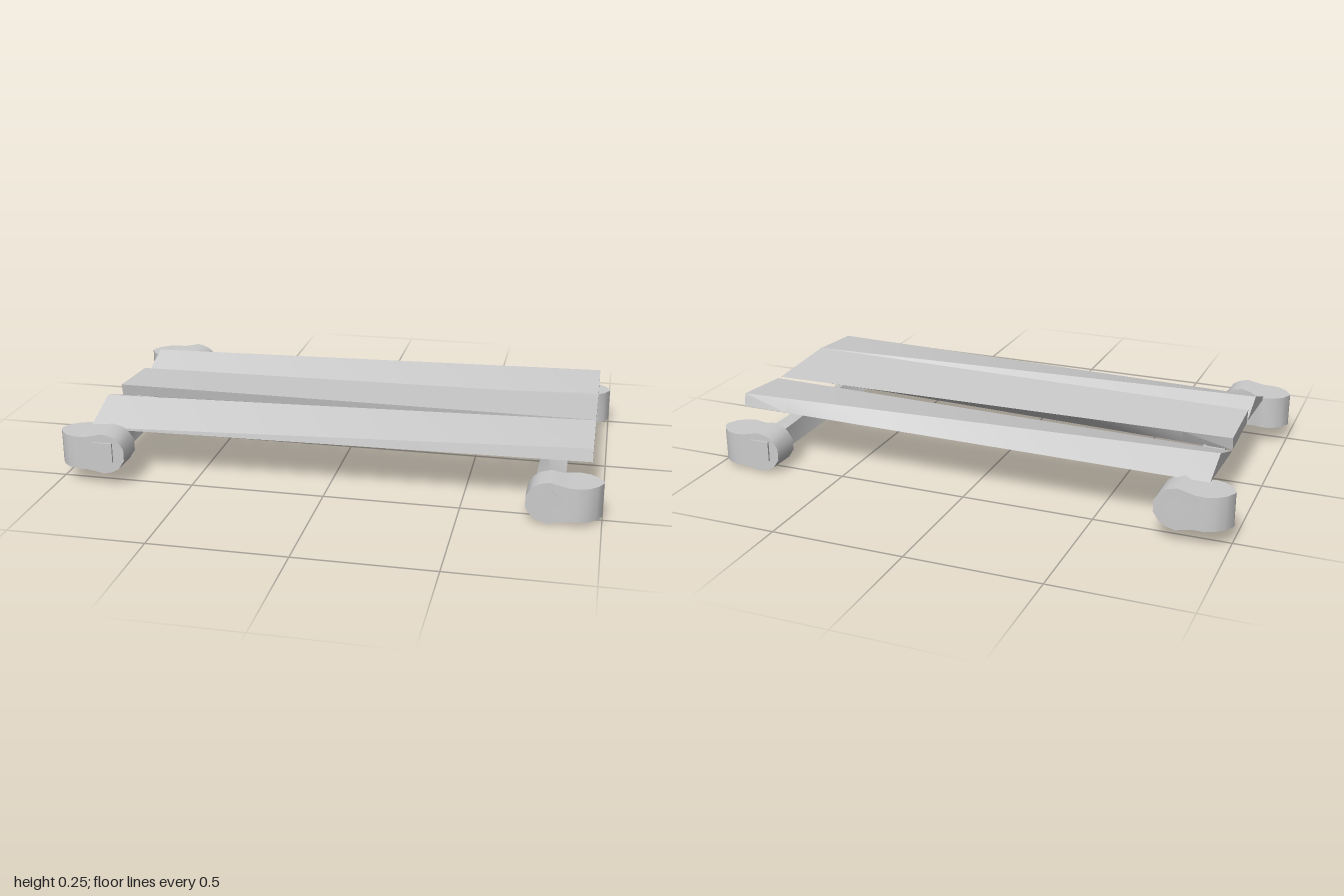
import * as THREE from 'three';
import { toCreasedNormals } from 'three/addons/utils/BufferGeometryUtils.js';

const material = new THREE.MeshStandardMaterial({ color: 0xcccccc });

// Closed solid through equal-sized loops of [x, y, z] points
function loft(loops, crease) {
  const n = loops[0].length;
  const pts = loops.flat();
  const index = [];
  for (let i = 0; i < loops.length - 1; i++) {
    for (let j = 0; j < n; j++) {
      const a = i * n + j, b = i * n + (j + 1) % n;
      index.push(a, b, b + n, a, b + n, a + n);
    }
  }
  const last = (loops.length - 1) * n;
  for (let j = 1; j < n - 1; j++) {
    index.push(0, j + 1, j, last, last + j, last + j + 1);
  }
  // Turn the faces outward when the signed volume is negative
  const v = pts.map((p) => new THREE.Vector3(...p));
  let volume = 0;
  for (let i = 0; i < index.length; i += 3) {
    volume += v[index[i]].dot(v[index[i + 1]].clone().cross(v[index[i + 2]]));
  }
  if (volume < 0) index.reverse();
  const geometry = new THREE.BufferGeometry().setFromPoints(v);
  geometry.setIndex(index);
  return toCreasedNormals(geometry, crease);
}

function addMesh(parent, name, geometry) {
  const mesh = new THREE.Mesh(geometry, material);
  mesh.name = name;
  parent.add(mesh);
  return mesh;
}

// Plank: flat board at one end, ridged at the other; corners are [z, y]
function plankGeometry() {
  const ridged = [[0.27, 0.25], [0.455, 0.185], [0.455, 0.18], [0.125, 0.2]];
  const flat = [[0.17, 0.25], [0.41, 0.232], [0.42, 0.185], [0.16, 0.2]];
  const loops = [];
  const steps = 10;
  for (let i = 0; i <= steps; i++) {
    const t = i / steps;
    const x = THREE.MathUtils.lerp(-0.905, 0.955, t);
    loops.push(ridged.map(([z, y], k) => [
      x,
      THREE.MathUtils.lerp(y, flat[k][1], t),
      THREE.MathUtils.lerp(z, flat[k][0], t),
    ]));
  }
  return loft(loops, 0.25);
}

// Axle: square bar with an eighth of a turn of twist along z
function axleGeometry(x, y, startAngle) {
  const loops = [];
  const steps = 10;
  for (let i = 0; i <= steps; i++) {
    const t = i / steps;
    const z = 0.577 - 1.154 * t;
    const loop = [];
    for (let k = 0; k < 4; k++) {
      const a = startAngle + t * Math.PI / 4 + k * Math.PI / 2;
      loop.push([x + 0.054 * Math.cos(a), y + 0.054 * Math.sin(a), z]);
    }
    loops.push(loop);
  }
  return loft(loops, 0.5);
}

// Foot: round from the front at the inner end, round from above at the outer end
function footGeometry(sideX, sideZ, y) {
  // [distance from inner end, half height, half depth, centre depth]
  const stations = [
    [0, 0.022, 0.056, 0.512], [0.022, 0.055, 0.056, 0.512],
    [0.045, 0.069, 0.057, 0.512], [0.08, 0.078, 0.058, 0.512],
    [0.115, 0.07, 0.061, 0.51], [0.145, 0.064, 0.07, 0.503],
    [0.18, 0.063, 0.077, 0.498], [0.215, 0.063, 0.067, 0.497],
    [0.245, 0.063, 0.043, 0.496], [0.265, 0.063, 0.008, 0.496],
  ];
  const corners = [[1, 1], [1, -1], [-1, -1], [-1, 1]];
  const loops = stations.map(([u, h, d, c]) => corners.map(([a, b]) => [
    sideX * (0.735 + u), y + a * h, sideZ * (c + b * d),
  ]));
  return loft(loops, 0.7);
}

export function createModel() {
  const model = new THREE.Group();
  model.name = 'plankPlatform';

  // Deck: two upright planks and one turned over between them
  const plank = plankGeometry();
  addMesh(model, 'frontPlank', plank);
  addMesh(model, 'backPlank', plank).position.z = -0.595;
  const middle = addMesh(model, 'middlePlank', plank);
  middle.rotation.z = Math.PI;
  middle.position.set(0.05, 0.43, -0.288);

  // Axles
  addMesh(model, 'leftAxle', axleGeometry(0.81, 0.09, 0));
  addMesh(model, 'rightAxle', axleGeometry(-0.815, 0.135, Math.PI / 4));

  // Feet on the axle ends
  for (const [sideX, side, y] of [[1, 'Left', 0.08], [-1, 'Right', 0.128]]) {
    addMesh(model, 'front' + side + 'Foot', footGeometry(sideX, 1, y));
    addMesh(model, 'back' + side + 'Foot', footGeometry(sideX, -1, y));
  }
  return model;
}
